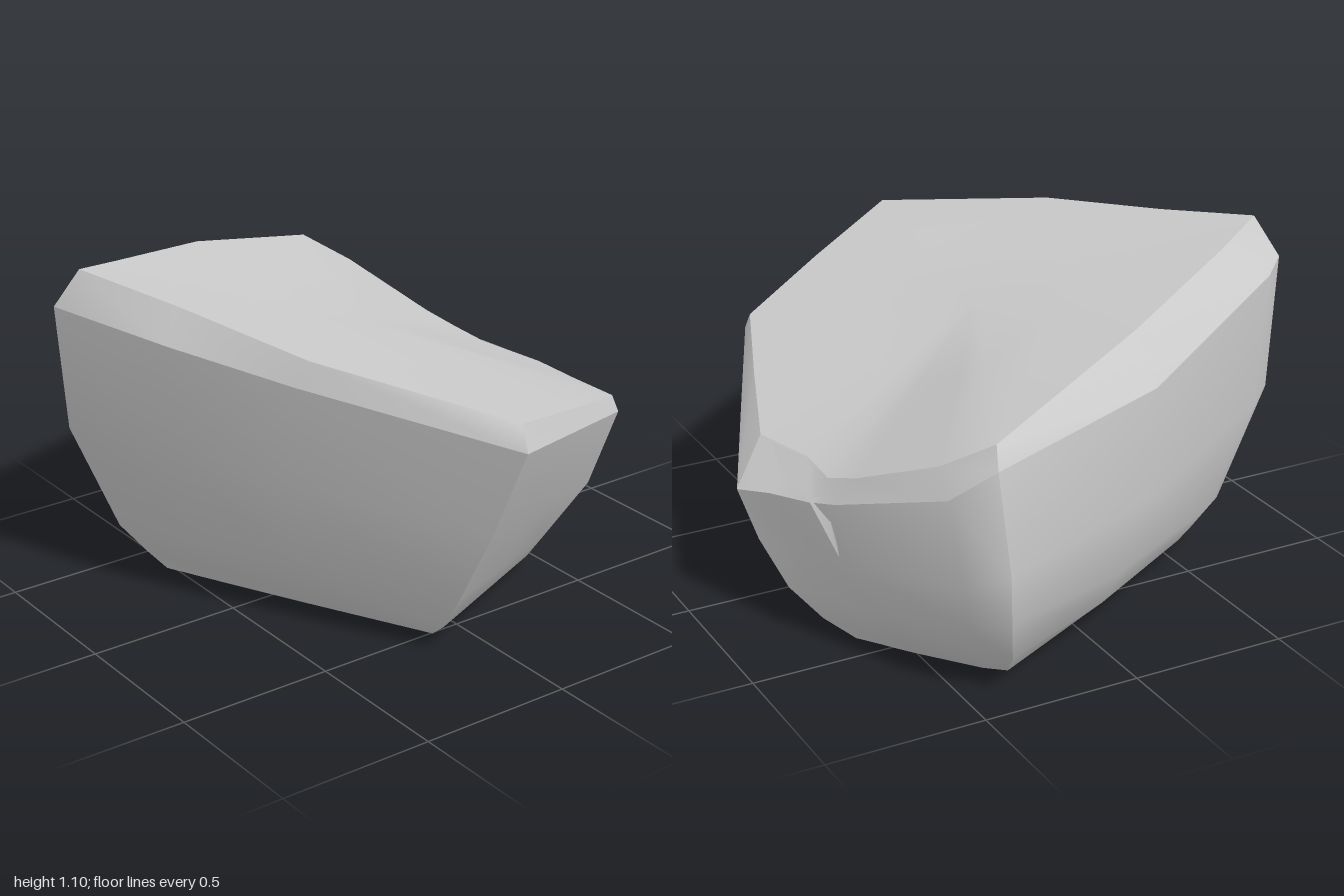
import * as THREE from 'three';

const material = new THREE.MeshStandardMaterial({ color: 0xcccccc, side: THREE.DoubleSide });

// Corner ridges of the boulder, each from the rim down to the open base.
const front = [[-0.4, 0.97, 0.86], [-0.425, 0.55, 0.815], [-0.4, 0.18, 0.665], [-0.37, 0.07, 0.58], [-0.34, 0.01, 0.53]];
const left = [[1, 0.8, 0.16], [0.87, 0.5, 0.17], [0.71, 0.22, 0.16], [0.61, 0.08, 0.14], [0.52, 0.01, 0.11]];
const backLeft = [[0.63, 0.63, -0.52], [0.55, 0.37, -0.48], [0.41, 0.14, -0.42], [0.36, 0.06, -0.4], [0.31, 0.01, -0.38]];
const back = [[-0.09, 0.42, -0.86], [-0.15, 0.27, -0.82], [-0.25, 0.14, -0.77], [-0.34, 0.06, -0.7], [-0.4, 0, -0.62]];
const right = [[-0.94, 0.73, -0.43], [-1, 0.43, -0.42], [-0.97, 0.26, -0.4], [-0.92, 0.12, -0.37], [-0.8, 0.01, -0.32]];

// Each side: its two ridges, rim points between them, and the top edge above the rim.
const sides = [
  { name: 'frontWall', from: front, to: left,
    rim: [[0.02, 0.94, 0.72], [0.4, 0.89, 0.53]],
    top: [[-0.34, 1.095, 0.8], [-0.02, 1.043, 0.66], [0.43, 0.975, 0.5], [0.95, 0.87, 0.14]] },
  { name: 'leftWall', from: left, to: backLeft,
    rim: [[0.815, 0.715, -0.18]],
    top: [[0.95, 0.87, 0.14], [0.785, 0.775, -0.19], [0.61, 0.68, -0.51]] },
  { name: 'backWall', from: backLeft, to: back,
    rim: [[0.27, 0.53, -0.69]],
    top: [[0.61, 0.68, -0.51], [0.3, 0.605, -0.63], [0, 0.54, -0.74]] },
  { name: 'backRightWall', from: back, to: right,
    rim: [[-0.22, 0.45, -0.81], [-0.38, 0.475, -0.755], [-0.48, 0.5, -0.715], [-0.87, 0.64, -0.55]],
    top: [[0, 0.54, -0.74], [-0.24, 0.55, -0.69], [-0.4, 0.55, -0.7], [-0.51, 0.585, -0.66],
      [-0.8, 0.715, -0.54], [-0.91, 0.8, -0.42]] },
  { name: 'rightWall', from: right, to: front,
    rim: [[-0.78, 0.8, 0.18], [-0.48, 0.945, 0.77]],
    top: [[-0.91, 0.8, -0.42], [-0.69, 0.955, 0.16], [-0.45, 1.05, 0.61], [-0.34, 1.095, 0.8]] },
];

// Smooth surface through rows of points, running from the upper row down.
function gridMesh(name, rows) {
  const n = rows[0].length, index = [];
  for (let r = 0; r < rows.length - 1; r++) {
    for (let i = 0; i < n - 1; i++) {
      const a = r * n + i, d = a + n;
      index.push(a, d, d + 1, a, d + 1, a + 1);
    }
  }
  return surface(name, rows.flat(), index);
}

function surface(name, points, index) {
  const g = new THREE.BufferGeometry();
  g.setAttribute('position', new THREE.Float32BufferAttribute(points.flat(), 3));
  g.setIndex(index);
  g.computeVertexNormals();
  const mesh = new THREE.Mesh(g, material);
  mesh.name = name;
  return mesh;
}

const mix = (a, b, t) => a.map((v, k) => v + (b[k] - v) * t);
const distance = (a, b) => Math.hypot(...a.map((v, k) => v - b[k]));

// The bulge of the rim fades out towards the base.
function wallRows({ from, to, rim }) {
  const fade = [1, 0.7, 0.45, 0.25, 0.1];
  const start = from[0], end = to[0];
  return from.map((p, r) => [start, ...rim, end].map((q) => {
    const t = distance(q, start) / (distance(q, start) + distance(q, end));
    const straight = mix(start, end, t);
    return mix(p, to[r], t).map((v, k) => v + (q[k] - straight[k]) * fade[r]);
  }));
}

export function createModel() {
  const group = new THREE.Group();
  group.name = 'boulder';
  const outline = [];

  // Walls and the bevelled edges above them
  for (const side of sides) {
    group.add(gridMesh(side.name, wallRows(side)));
    const rim = [side.from[0], ...side.rim, side.to[0]];
    group.add(gridMesh(side.name + 'Bevel', [side.top, rim]));
    outline.push(...side.top.slice(0, -1));
  }

  // Sloping top face, fanned around a slightly sunken middle
  const n = outline.length, index = [];
  const centre = [0, 0.855, 0];
  const inner = outline.map((p) => mix(centre, p, 0.5));
  for (let i = 0; i < n; i++) {
    const j = (i + 1) % n;
    index.push(i, j, n + j, i, n + j, n + i, n + i, n + j, 2 * n);
  }
  group.add(surface('topFace', [...outline, ...inner, centre], index));

  // Small chipped fold running over the back edge and down the wall
  group.add(gridMesh('chippedFold', [
    [[-0.03, 0.535, -0.74], [-0.24, 0.55, -0.695], [-0.42, 0.505, -0.725], [-0.49, 0.38, -0.715]],
    [[-0.1, 0.49, -0.775], [-0.24, 0.495, -0.755], [-0.39, 0.48, -0.755], [-0.5, 0.34, -0.715]],
  ]));
  return group;
}
